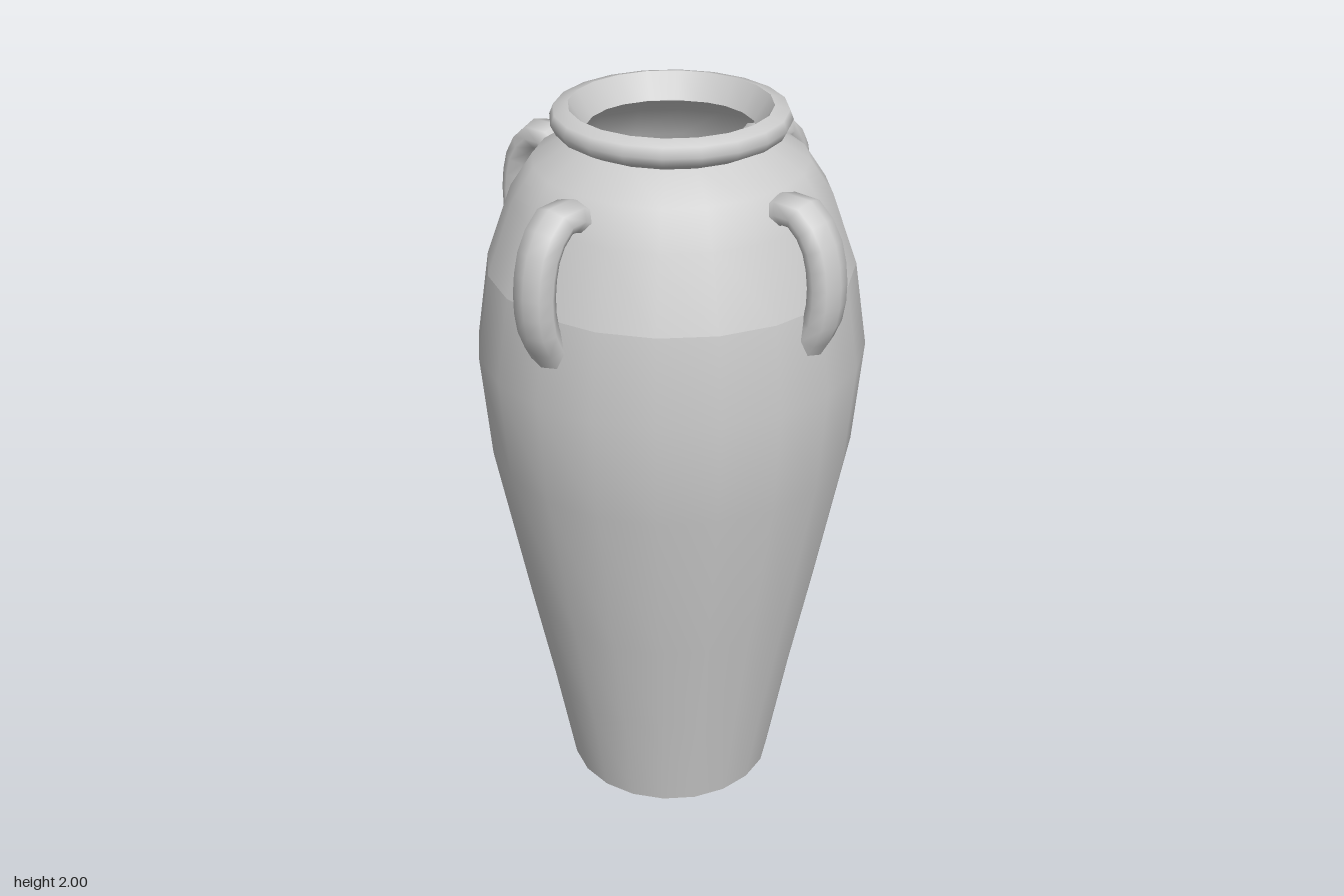
import * as THREE from 'three';

const SIDES = 20;

export function createModel() {
  const model = new THREE.Group();
  model.name = 'jar';
  const clay = new THREE.MeshStandardMaterial({ color: 0xcccccc, side: THREE.DoubleSide });
  clay.name = 'grey clay';

  const add = (name, geometry) => {
    const mesh = new THREE.Mesh(geometry, clay);
    mesh.name = name;
    model.add(mesh);
    return mesh;
  };
  // Each turned part has its own smooth normals, leaving a crease where parts meet
  const turned = (name, profile) => {
    const points = profile.map(([r, y]) => new THREE.Vector2(r, y));
    add(name, new THREE.LatheGeometry(points, SIDES)).position.set(0.005, 0, -0.003);
  };

  turned('belly', [[0.29, 0], [0.345, 0.3], [0.405, 0.6], [0.493, 1.06], [0.518, 1.35], [0.483, 1.58]]);
  turned('shoulder', [[0.483, 1.58], [0.415, 1.77], [0.355, 1.86], [0.255, 1.92]]);
  turned('lip', [[0.255, 1.92], [0.295, 1.94], [0.308, 1.965], [0.298, 1.99], [0.26, 2]]);
  turned('mouth', [[0.26, 2], [0.217, 1.935]]);
  turned('base', [[0, 0], [0.29, 0]]);

  // Four loop handles: a bent tube widened sideways, its ends sunk into the wall
  const path = new THREE.CatmullRomCurve3([
    [0.35, 1.8], [0.42, 1.828], [0.485, 1.775], [0.516, 1.67], [0.508, 1.56], [0.465, 1.475],
  ].map(([x, y]) => new THREE.Vector3(x, y, 0)));
  const handle = new THREE.TubeGeometry(path, 10, 0.042, 8, false).scale(1, 1, 1.45);
  ['leftHandle', 'backHandle', 'rightHandle', 'frontHandle'].forEach((name, i) => {
    const mesh = add(name, handle);
    mesh.rotation.y = i * Math.PI / 2;
    if (i % 2) mesh.position.set(0.012, 0, -0.002);
    else mesh.position.set(-0.003, 0, 0.012);
  });

  return model;
}
